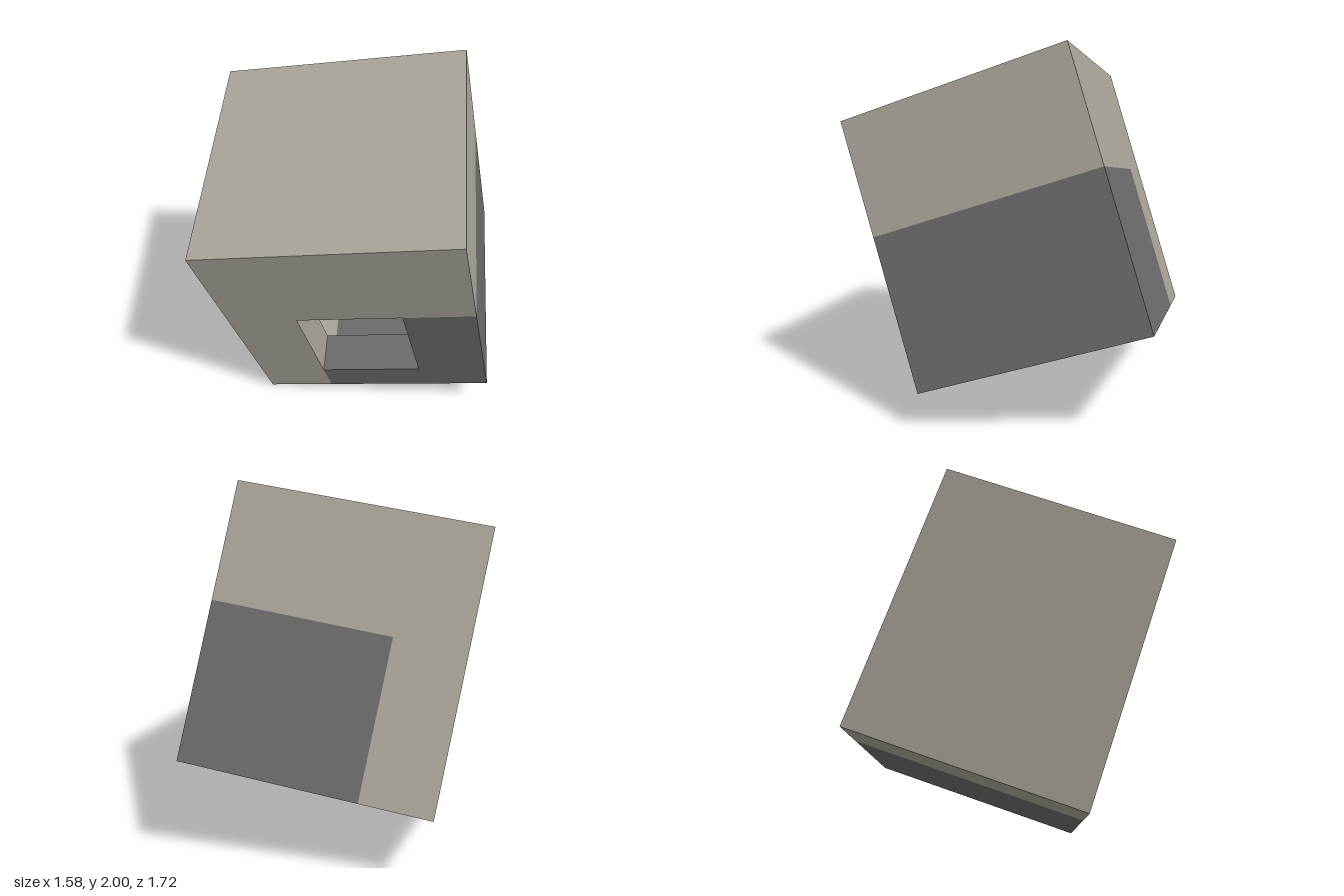
import * as THREE from 'three';

// Tilted hollow box with thin walls, a dark corner block and a deep square window.
const SIZE = new THREE.Vector3(1.337, 1.479, 1.268);
const A = 2 / 7, B = 4 / 7;          // dark corner: x beyond A, y below B (fractions of the box)
const HR = 5 / 7, HB = 1 / 7;        // right and bottom of the window
const IN = 0.82;                     // depth fraction where the window lining ends

const rect = (x0, y0, x1, y1) => [[x0, y0], [x1, y0], [x1, y1], [x0, y1]];

// Ways of laying a flat outline on a wall: (s, t) to box fractions
const atZ = z => (s, t) => [s, t, z];
const atX = x => (s, t) => [x, t, 1 - s];
const atY = y => (s, t) => [s, y, 1 - t];

export function createModel() {
  const stone = new THREE.MeshStandardMaterial({ color: 0xa8a398, side: THREE.DoubleSide });
  stone.name = 'warm grey';
  const dark = new THREE.MeshStandardMaterial({ color: 0x6a6a6a, side: THREE.DoubleSide });
  dark.name = 'dark grey';

  const box = new THREE.Group();
  box.name = 'tiltedBox';

  function panel(name, material, outline, place) {
    const shape = new THREE.Shape(outline.map(p => new THREE.Vector2(...p)));
    const geo = new THREE.ShapeGeometry(shape);
    const pos = geo.attributes.position;
    for (let i = 0; i < pos.count; i++) {
      const f = place(pos.getX(i), pos.getY(i));
      pos.setXYZ(i, (f[0] - 0.5) * SIZE.x, (f[1] - 0.5) * SIZE.y, (f[2] - 0.5) * SIZE.z);
    }
    // Turn inward-facing walls so that they face out
    if (name.startsWith('back') || name.startsWith('left') || name.startsWith('bottom')) {
      const idx = geo.index;
      for (let i = 0; i < idx.count; i += 3) {
        const k = idx.getX(i);
        idx.setX(i, idx.getX(i + 1));
        idx.setX(i + 1, k);
      }
    }
    geo.computeVertexNormals();
    const mesh = new THREE.Mesh(geo, material);
    mesh.name = name;
    box.add(mesh);
  }

  // Front and back walls: pale L shape around the dark corner
  const paleL = [[0, 0], [A, 0], [A, B], [1, B], [1, 1], [0, 1]];
  panel('frontWall', stone, paleL, atZ(1));
  panel('backWall', stone, paleL, atZ(0));
  panel('frontDarkCorner', dark, [[A, 0], [1, 0], [1, B], [HR, B], [HR, HB], [A, HB]], atZ(1));
  panel('backDarkCorner', dark, rect(A, 0, 1, B), atZ(0));

  // Side walls, roof and floor
  panel('leftwardWall', stone, rect(0, 0, 1, 1), atX(0));
  panel('rightUpperWall', stone, rect(0, B, 1, 1), atX(1));
  panel('rightLowerWall', dark, rect(0, 0, 1, B), atX(1));
  panel('roof', stone, rect(0, 0, 1, 1), atY(1));
  panel('bottomPaleStrip', stone, rect(0, 0, A, 1), atY(0));
  panel('bottomDark', dark, rect(A, 0, 1, 1), atY(0));

  // Lining of the window opening
  panel('windowSill', dark, rect(A, 0, HR, 1 - IN), atY(HB));
  panel('windowHead', stone, rect(A, 0, HR, 1 - IN), atY(B));
  panel('windowInnerSide', stone, rect(0, HB, 1 - IN, B), atX(A));
  panel('windowOuterSide', dark, rect(0, HB, 1 - IN, B), atX(HR));

  // Tilt of the whole box, resting on one corner
  const u = new THREE.Vector3(1.32, 0.21, 0.04).normalize();
  const w = new THREE.Vector3().crossVectors(u, new THREE.Vector3(-0.23, 1.38, 0.48)).normalize();
  const v = new THREE.Vector3().crossVectors(w, u);
  box.quaternion.setFromRotationMatrix(new THREE.Matrix4().makeBasis(u, v, w));
  box.position.y = 1;

  const model = new THREE.Group();
  model.name = 'model';
  model.add(box);
  return model;
}
